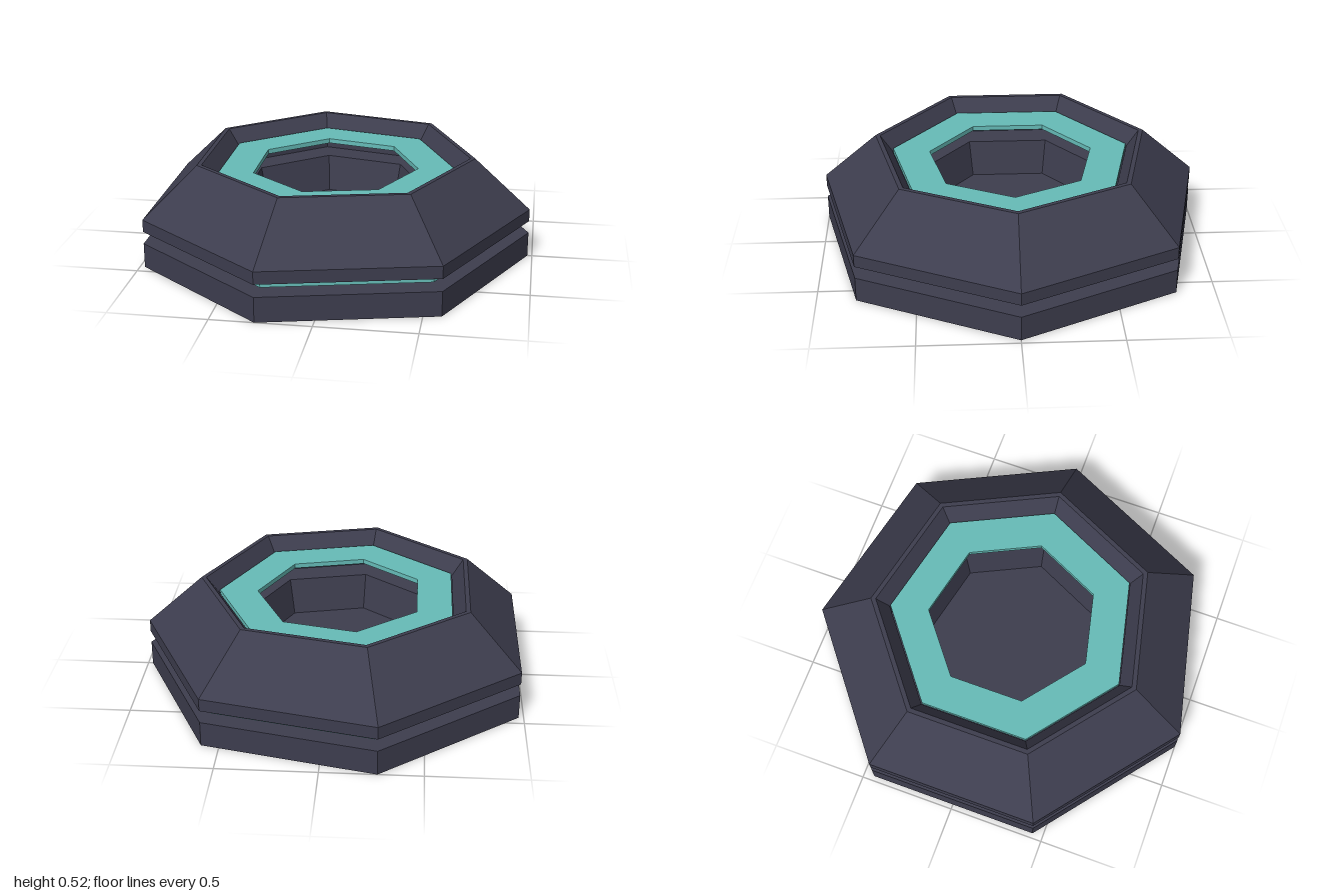
import * as THREE from 'three';

const SIDES = 7;
const darkMat = new THREE.MeshStandardMaterial({ color: 0x3d3d4e, flatShading: true });
const tealMat = new THREE.MeshStandardMaterial({ color: 0x66bcb8, flatShading: true });

// Seven-sided solid from a [radius, height] profile, with a corner pointing to +x
function heptagon(name, profile, material) {
  const points = profile.map(([r, y]) => new THREE.Vector2(r, y));
  const geometry = new THREE.LatheGeometry(points, SIDES, Math.PI / 2);
  const mesh = new THREE.Mesh(geometry, material);
  mesh.name = name;
  return mesh;
}

// Flat ring with a rectangular section
function flatRing(name, inner, outer, y0, y1) {
  return heptagon(name, [[inner, y0], [outer, y0], [outer, y1], [inner, y1], [inner, y0]], tealMat);
}

export function createModel() {
  const model = new THREE.Group();
  model.name = 'heptagonalPad';

  // Base slab
  model.add(heptagon('base', [[0, 0], [1.026, 0], [1.026, 0.13], [0, 0.13]], darkMat));

  // Recessed core between the slabs, its top forming the pit floor
  model.add(heptagon('core', [[0.845, 0.13], [0.845, 0.2]], darkMat));
  model.add(heptagon('pitFloor', [[0.46, 0.15], [0, 0.15]], darkMat));

  // Sloped upper housing with stepped opening
  model.add(heptagon('housing', [
    [0.45, 0.195], [1.026, 0.195], [1.026, 0.26], [0.735, 0.525],
    [0.71, 0.525], [0.645, 0.44], [0.645, 0.34], [0.49, 0.34], [0.45, 0.15],
  ], darkMat));

  // Glowing rings: one in the side groove, one inside the opening
  model.add(flatRing('grooveRing', 0.8, 0.953, 0.15, 0.175));
  model.add(flatRing('openingRing', 0.44, 0.64, 0.43, 0.455));

  // Centre the odd-sided outline on x
  model.children.forEach((part) => { part.position.x = -0.05; });
  return model;
}
